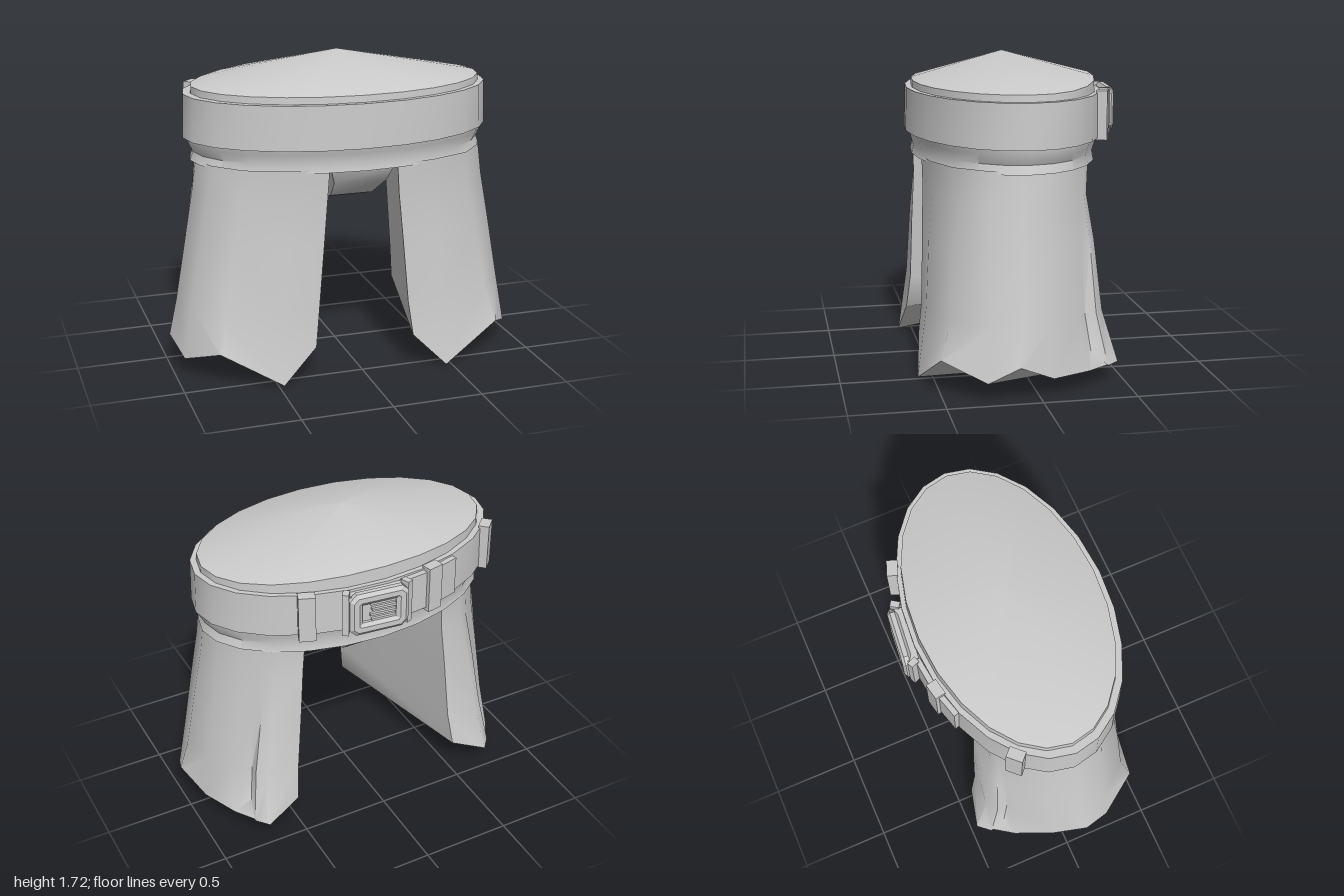
import * as THREE from 'three';
import { toCreasedNormals } from 'three/addons/utils/BufferGeometryUtils.js';

const material = new THREE.MeshStandardMaterial({ color: 0xcccccc, side: THREE.DoubleSide });

function part(name, geometry, parent) {
  const mesh = new THREE.Mesh(geometry, material);
  mesh.name = name;
  parent.add(mesh);
  return mesh;
}

// Skin a closed surface through rows of points; extra triangles index into the rows.
function loft(rows, crease = 0.7, extra = [], flip = false) {
  const n = rows[0].length, index = [];
  for (let r = 0; r < rows.length - 1; r++) {
    for (let c = 0; c < n; c++) {
      const a = r * n + c, b = r * n + (c + 1) % n;
      index.push(a, a + n, b, b, a + n, b + n);
    }
  }
  index.push(...extra);
  if (flip) index.reverse();
  const g = new THREE.BufferGeometry();
  g.setAttribute('position', new THREE.Float32BufferAttribute(rows.flat(2), 3));
  g.setIndex(index);
  return toCreasedNormals(g, crease);
}

// Oval ring of points; lift raises the back
function ring(rx, zFront, zBack, y, lift = 0, n = 24) {
  return Array.from({ length: n }, (_, i) => {
    const t = i / n * Math.PI * 2, c = Math.cos(t);
    return [rx * Math.sin(t), y + lift * Math.max(0, -c) ** 3, (zFront + zBack) / 2 + c * (zFront - zBack) / 2];
  });
}

// Side cloth: bottom x, y, z and top x, z for each column, from front edge to back edge
const columns = [
  [0.28, 0.19, 0.55, 0.19, 0.51],
  [0.47, 0.0, 0.58, 0.40, 0.49],
  [0.80, 0.19, 0.50, 0.63, 0.40],
  [0.95, 0.10, 0.28, 0.77, 0.25],
  [1.00, 0.19, 0.12, 0.815, 0.08],
  [0.93, 0.10, -0.07, 0.79, -0.07],
  [0.84, 0.10, -0.28, 0.71, -0.20],
  [0.75, 0.18, -0.31, 0.65, -0.26],
  [0.77, 0.10, -0.40, 0.61, -0.30],
  [0.71, 0.10, -0.47, 0.56, -0.33],
  [0.51, 0.18, -0.42, 0.42, -0.36],
];

function clothPanel(side) {
  // height, x spread, z spread
  const levels = [[1.17, 0, 0], [1.0, 0.13, -0.08], [0.75, 0.38, 0.18], [0.38, 0.74, 0.42], [null, 1, 1]];
  const rows = levels.map(([y, fx, fz]) => columns.map(([bx, by, bz, tx, tz]) =>
    [side * (tx + (bx - tx) * fx), y ?? by, tz + (bz - tz) * fz]));
  // Underside: inner strip, then a fan behind the ragged hem
  const o = (levels.length - 1) * columns.length, back = o + 9;
  const under = [o, o + 10, back, o, back, o + 1];
  for (let k = 1; k < 8; k++) under.push(back, o + k + 1, o + k);
  return loft(rows, 0.85, under, side < 0);
}

// Position on the belt's back face for a given x, with outward turn
function onBelt(object, x, y, out = 0) {
  const rx = 0.868, rz = 0.535, cz = 0.035;
  const s = x / rx, c = -Math.sqrt(1 - s * s);
  const normal = new THREE.Vector3(s / rx, 0, c / rz).normalize();
  object.position.set(x, y, cz + c * rz).addScaledVector(normal, out);
  object.rotation.y = Math.atan2(normal.x, normal.z);
}

function roundedRect(target, w, h, r) {
  target.moveTo(-w + r, -h).lineTo(w - r, -h).lineTo(w, -h + r).lineTo(w, h - r)
    .lineTo(w - r, h).lineTo(-w + r, h).lineTo(-w, h - r).lineTo(-w, -h + r).closePath();
  return target;
}

function makeBuckle() {
  const buckle = new THREE.Group();
  buckle.name = 'buckle';
  part('bucklePlate', new THREE.BoxGeometry(0.3, 0.21, 0.06), buckle).position.z = -0.005;
  const shape = roundedRect(new THREE.Shape(), 0.145, 0.105, 0.025);
  shape.holes.push(roundedRect(new THREE.Path(), 0.115, 0.075, 0.01));
  const frame = new THREE.ExtrudeGeometry(shape, {
    depth: 0.025, bevelEnabled: true, bevelThickness: 0.015, bevelSize: 0.02, bevelSegments: 1,
  });
  part('buckleFrame', frame, buckle).position.z = 0.015;
  for (let i = 0; i < 4; i++) {
    part('buckleBar', new THREE.BoxGeometry(0.15, 0.014, 0.02), buckle)
      .position.set(i % 2 ? 0.025 : 0.035, -0.05 + i * 0.033, 0.03);
  }
  // Swept-back end wings
  for (const s of [-1, 1]) {
    const wing = part('buckleWing', new THREE.BoxGeometry(0.035, 0.25, 0.05), buckle);
    wing.position.set(s * 0.17, 0, 0.0);
    wing.rotation.y = s * 0.5;
  }
  return buckle;
}

export function createModel() {
  const model = new THREE.Group();
  model.name = 'beltedWaistcloth';

  // Waist with a shallow peaked top
  part('waistTop', loft([
    ring(0, 0.03, 0.03, 1.72),
    ring(0.82, 0.53, -0.465, 1.557, 0.035),
    ring(0.825, 0.535, -0.47, 1.50),
  ], 0.5), model);

  // Belt band
  const belt = part('belt', loft([
    ring(0.80, 0.51, -0.45, 1.52),
    ring(0.862, 0.565, -0.495, 1.52),
    ring(0.87, 0.572, -0.50, 1.28),
    ring(0.80, 0.51, -0.45, 1.28),
  ]), model);
  belt.position.x = -0.005;

  // Flared collar below the belt, closed underneath
  part('collar', loft([
    ring(0.848, 0.555, -0.475, 1.285),
    ring(0.845, 0.545, -0.47, 1.25),
    ring(0.82, 0.53, -0.455, 1.20),
    ring(0.837, 0.54, -0.465, 1.152),
    ring(0, 0.03, 0.03, 1.155),
  ]), model);

  // Hanging cloth on both sides
  part('leftCloth', clothPanel(1), model);
  part('rightCloth', clothPanel(-1), model);

  // Crotch piece: z, bottom height, bottom half width
  const stations = [[0.49, 1.15, 0.175], [0.46, 1.075, 0.15], [0.3, 0.96, 0.12], [0.1, 0.895, 0.095],
    [-0.06, 0.895, 0.095], [-0.22, 0.96, 0.12], [-0.35, 1.07, 0.15], [-0.4, 1.15, 0.175]];
  part('crotch', loft(stations.map(([z, y, w]) =>
    [[-w, y, z], [w, y, z], [0.175, 1.17, z], [-0.175, 1.17, z]]), 0.6), model);

  // Buckle, loops and the overlapping strap end at the back
  const buckle = makeBuckle();
  onBelt(buckle, 0.08, 1.4, 0.02);
  buckle.rotation.y = Math.PI + 0.1 * -1;
  model.add(buckle);
  for (const x of [-0.745, -0.27, 0.44]) {
    const loop = part('beltLoop', new THREE.BoxGeometry(0.09, 0.265, 0.06), model);
    onBelt(loop, x, 1.4, 0.012);
  }
  for (const x of [-0.15, -0.36]) {
    const strap = part('strapEnd', new THREE.BoxGeometry(0.15, 0.22, 0.03), model);
    onBelt(strap, x, 1.4, 0.008);
  }
  return model;
}
